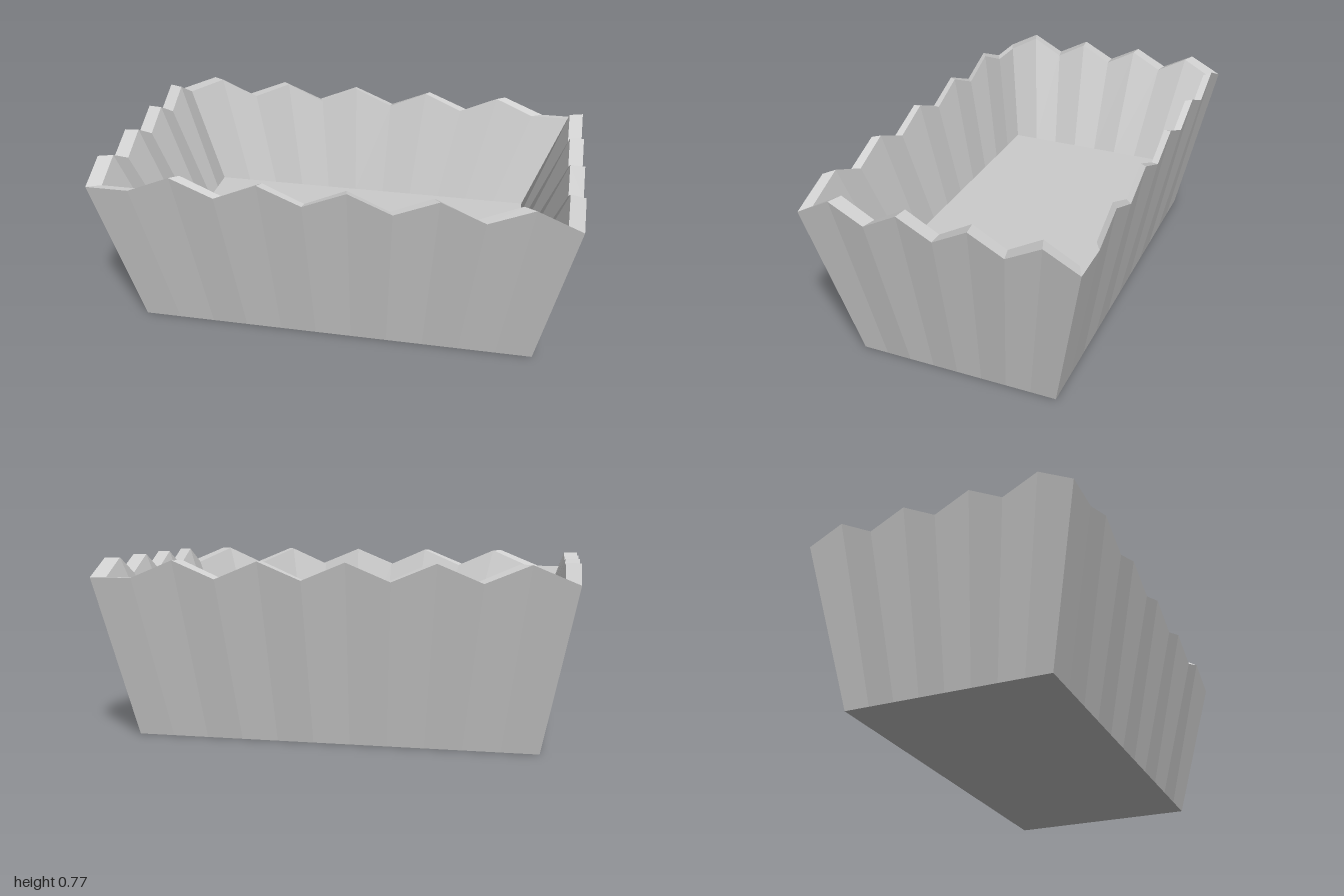
import * as THREE from 'three';

// Half sizes [x, z] and heights of the tapered tray
const FOOT = [0.86, 0.43], RIM_OUT = [1, 0.573], RIM_IN = [0.94, 0.545], FLOOR = [0.76, 0.44];
const LOW = 0.695, PEAK = 0.77, FLOOR_Y = 0.275;

// Unit outline, counter-clockwise from above, with the zigzag rim height at each point
function outline() {
  const points = [];
  const side = (count, isPeak, place) => {
    for (let i = 0; i < count; i++) {
      const [x, z] = place(-1 + (2 * i) / count);
      points.push({ x, z, rim: isPeak(i) ? PEAK : LOW });
    }
  };
  const even = (i) => i > 0 && i % 2 === 0;
  const odd = (i) => i % 2 === 1;
  side(11, even, (t) => [t, 1]);
  side(8, odd, (t) => [1, -t]);
  side(11, even, (t) => [-t, -1]);
  side(8, odd, (t) => [-1, t]);
  return points;
}

// Band of quads between two loops, each quad with one flat normal
function band(lower, upper) {
  const positions = [], normals = [];
  lower.forEach((a, i) => {
    const k = (i + 1) % lower.length;
    const b = lower[k], c = upper[k], d = upper[i];
    const n = c.clone().sub(a).cross(d.clone().sub(b)).normalize();
    for (const p of [a, b, c, a, c, d]) {
      positions.push(p.x, p.y, p.z);
      normals.push(n.x, n.y, n.z);
    }
  });
  const geometry = new THREE.BufferGeometry();
  geometry.setAttribute('position', new THREE.Float32BufferAttribute(positions, 3));
  geometry.setAttribute('normal', new THREE.Float32BufferAttribute(normals, 3));
  return geometry;
}

export function createModel() {
  const group = new THREE.Group();
  group.name = 'zigzagTray';
  const grey = new THREE.MeshStandardMaterial({ color: 0xcccccc });
  grey.name = 'light grey';

  const add = (name, geometry) => {
    const mesh = new THREE.Mesh(geometry, grey);
    mesh.name = name;
    group.add(mesh);
    return mesh;
  };

  const points = outline();
  const loop = ([w, d], height) =>
    points.map((p) => new THREE.Vector3(p.x * w, height ?? p.rim, p.z * d));
  const foot = loop(FOOT, 0), rimOut = loop(RIM_OUT);
  const rimIn = loop(RIM_IN), floor = loop(FLOOR, FLOOR_Y);

  // Sloping walls and the zigzag rim
  add('outerWall', band(foot, rimOut));
  add('rim', band(rimOut, rimIn));
  add('innerWall', band(rimIn, floor));

  // Raised inner floor and the underside
  add('innerFloor', new THREE.PlaneGeometry(FLOOR[0] * 2, FLOOR[1] * 2)
    .rotateX(-Math.PI / 2).translate(0, FLOOR_Y, 0));
  add('underside', new THREE.PlaneGeometry(FOOT[0] * 2, FOOT[1] * 2).rotateX(Math.PI / 2));

  return group;
}
